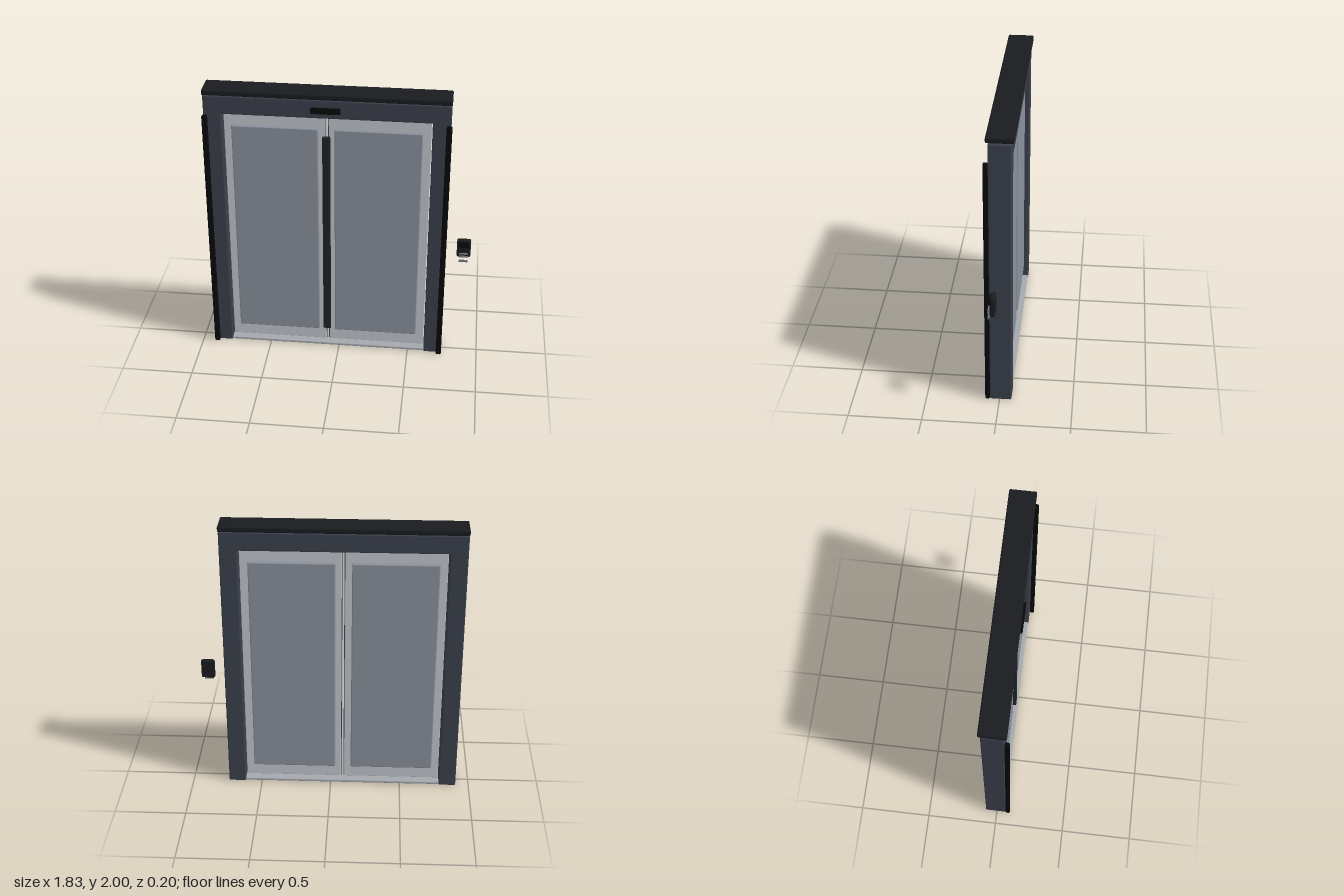
import * as THREE from 'three';
import { RoundedBoxGeometry } from 'three/addons/geometries/RoundedBoxGeometry.js';

const paint = (color) => new THREE.MeshStandardMaterial({ color });
const frameMat = paint(0x3b404b);
const blackMat = paint(0x070809);
const capMat = paint(0x191b1f);
const aluminium = paint(0xc2c7ce);
const glassMat = paint(0x8b919c);
const sealMat = paint(0x44484e);
const silver = paint(0xe0e2e5);

const CENTRE = -0.0835; // middle of the doorway

// Rounded box given by its limits on each axis
function block(name, [x0, x1], [y0, y1], [z0, z1], material, radius = 0.004) {
  const mesh = new THREE.Mesh(
    new RoundedBoxGeometry(x1 - x0, y1 - y0, z1 - z0, 2, radius), material);
  mesh.position.set((x0 + x1) / 2, (y0 + y1) / 2, (z0 + z1) / 2);
  mesh.name = name;
  return mesh;
}

// One door leaf: thin metal panel with a raised pane on both faces
function doorLeaf(name, leafX, paneX) {
  const leaf = new THREE.Group();
  leaf.name = name;
  leaf.add(
    block('leafFrame', leafX, [0.024, 1.82], [-0.022, 0.006], aluminium, 0.004),
    block('glassPane', paneX, [0.122, 1.73], [-0.052, 0.034], glassMat, 0.008));
  return leaf;
}

export function createModel() {
  const model = new THREE.Group();
  model.name = 'slidingDoor';

  // Surround: jambs, front edge strips, header, cap and threshold
  for (const side of [-1, 1]) {
    const span = (a, b) => [CENTRE + side * a, CENTRE + side * b].sort((p, q) => p - q);
    const label = side < 0 ? 'right' : 'left';
    model.add(
      block(label + 'Jamb', span(0.701, 0.823), [0, 1.956], [-0.082, 0.066], frameMat, 0.009),
      block(label + 'EdgeStrip', span(0.792, 0.83), [0.002, 1.82], [0.066, 0.098], blackMat, 0.01));
  }
  model.add(
    block('header', [-0.9, 0.733], [1.825, 1.956], [-0.082, 0.066], frameMat, 0.009),
    block('cap', [-0.909, 0.742], [1.962, 2], [-0.098, 0.082], capMat, 0.01),
    block('threshold', [-0.787, 0.62], [0.004, 0.022], [-0.078, 0.06], paint(0xa4a8ad), 0.004));

  // Motion sensor in front of the header
  model.add(block('sensor', [-0.185, 0.013], [1.868, 1.91], [0.074, 0.094], blackMat, 0.006));

  // Door leaves with the meeting seam and long handle bar
  model.add(
    doorLeaf('rightLeaf', [-0.781, -0.096], [-0.728, -0.143]),
    doorLeaf('leftLeaf', [-0.073, 0.613], [-0.032, 0.556]),
    block('seamSeal', [-0.1, -0.069], [0.024, 1.82], [-0.014, -0.002], sealMat, 0.002),
    block('seamStrip', [-0.091, -0.078], [0.024, 1.82], [-0.022, 0.008], silver, 0.003),
    block('handleBar', [-0.113, -0.06], [0.143, 1.68], [0.024, 0.052], paint(0x202226), 0.005));

  // Card reader standing beside the doorway
  const reader = new THREE.Group();
  reader.name = 'cardReader';
  reader.add(
    block('readerBody', [0.819, 0.915], [0.806, 0.944], [0.008, 0.044], capMat, 0.014),
    block('readerScreen', [0.832, 0.902], [0.89, 0.931], [0.044, 0.058], blackMat, 0.003));
  for (const [y, height] of [[0.842, 0.008], [0.82, 0.01], [0.785, 0.014]]) {
    reader.add(block('readerBar', [0.835, 0.898], [y - height / 2, y + height / 2],
      [0.048, 0.06], paint(0x6f7378), 0.002));
  }
  model.add(reader);

  return model;
}
